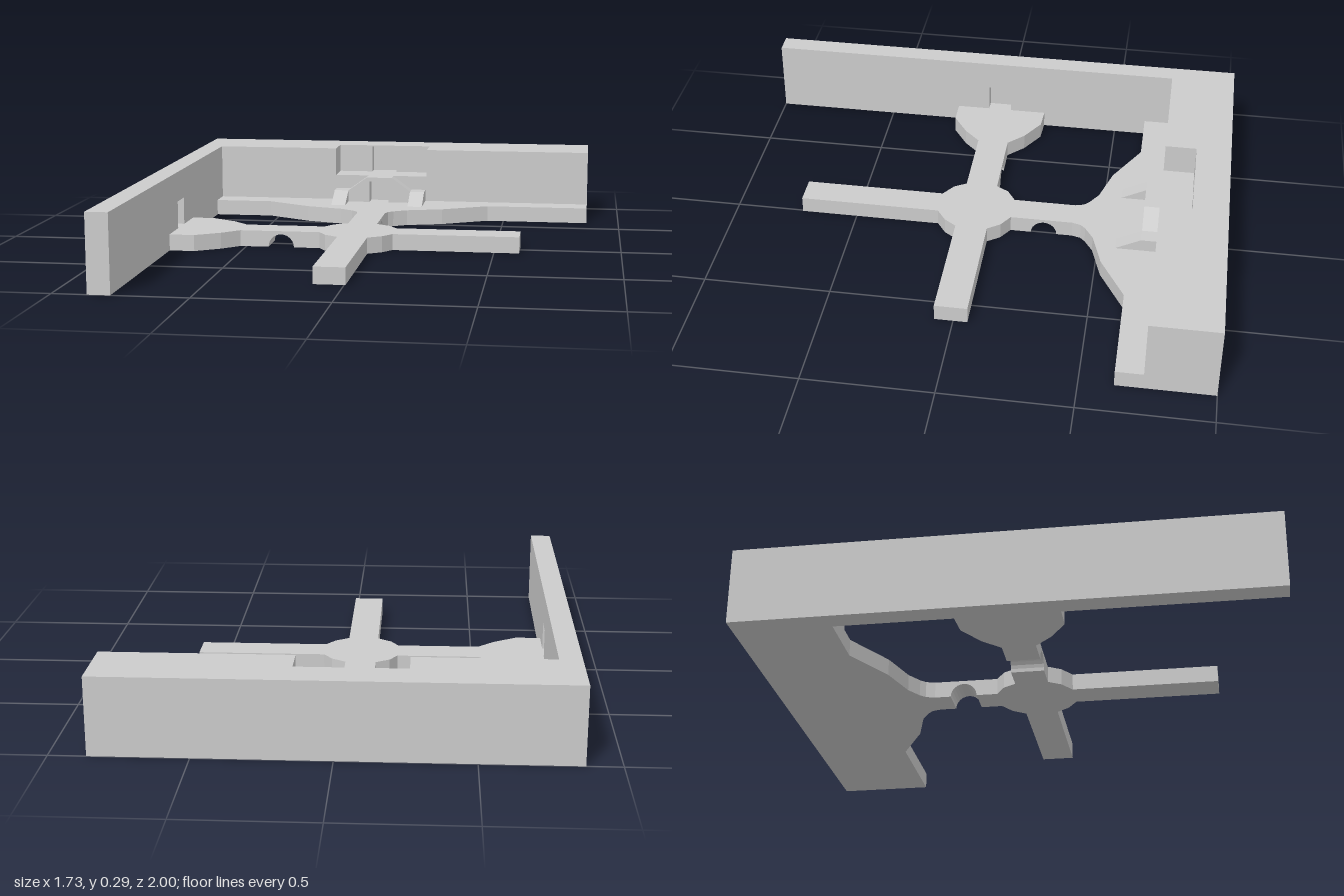
import * as THREE from 'three';

const DECK = 0.065, LANDING = 0.175, TOP = 0.295;

export function createModel() {
  const group = new THREE.Group();
  const material = new THREE.MeshStandardMaterial({ color: 0xcccccc, flatShading: true });

  const add = (name, geometry) => {
    const mesh = new THREE.Mesh(geometry, material);
    mesh.name = name;
    group.add(mesh);
    return mesh;
  };
  const extrude = (shape, depth) =>
    new THREE.ExtrudeGeometry(shape, { depth, bevelEnabled: false, curveSegments: 6 });
  const polygon = (pts) => new THREE.Shape(pts.map(([a, b]) => new THREE.Vector2(a, b)));

  // Plan outline given as [x, z], raised from y0 to y1
  const slab = (name, pts, y0, y1) => {
    const g = extrude(polygon(pts.map(([x, z]) => [x, -z])), y1 - y0);
    g.rotateX(-Math.PI / 2).translate(0, y0, 0);
    return add(name, g);
  };
  // Profile given in (z, y), running from x0 to x1
  const alongX = (name, shape, x0, x1) =>
    add(name, extrude(shape, x1 - x0).rotateY(-Math.PI / 2).translate(x1, 0, 0));
  // Profile given in (x, y), running from z0 to z1
  const alongZ = (name, shape, z0, z1) =>
    add(name, extrude(shape, z1 - z0).translate(0, 0, z0));

  // L-shaped wall in three layers: base, doorway recess, upper alcove
  const wall = (name, y0, y1, sideCut, backCut) => slab(name, [
    [-0.87, -1], [0.863, -1], [0.863, -0.735], ...backCut, [-0.785, -0.735],
    ...sideCut, [-0.785, 1], [-0.87, 1],
  ], y0, y1);
  const sideDoor = [[-0.785, -0.035], [-0.83, -0.035], [-0.83, 0.063], [-0.785, 0.063]];
  const alcove = [
    [0.15, -0.735], [0.15, -0.86], [0, -0.86], [0, -0.91],
    [-0.112, -0.91], [-0.112, -0.86], [-0.26, -0.86], [-0.26, -0.735],
  ];
  wall('wallBase', 0, DECK, [], []);
  wall('wallMiddle', DECK, LANDING, sideDoor, []);
  wall('wallUpper', LANDING, TOP, [], alcove);
  slab('alcoveDoorLintel', [[-0.112, -0.91], [0, -0.91], [0, -0.86], [-0.112, -0.86]], 0.29, TOP);

  // Ledge along the back wall, flaring into the rear bridge
  slab('backLedge', [
    [-0.785, -0.735], [-0.785, -0.63], [-0.54, -0.63], [-0.35, -0.525], [-0.2, -0.48],
    [-0.145, -0.445], [-0.125, -0.425], [-0.115, -0.39], [0.005, -0.39], [0.015, -0.425],
    [0.035, -0.445], [0.09, -0.48], [0.24, -0.525], [0.43, -0.63], [0.863, -0.63], [0.863, -0.735],
  ], 0, DECK);

  // Platform beside the left-hand wall
  slab('sidePlatform', [
    [-0.785, -0.185], [-0.69, -0.18], [-0.59, -0.12], [-0.525, -0.055],
    [-0.525, 0.073], [-0.59, 0.138], [-0.685, 0.2], [-0.785, 0.2],
  ], 0, DECK);

  // Central hub with its front and side arms
  slab('hubAndArms', [
    [-0.2, -0.055], [-0.17, -0.105], [-0.115, -0.14], [0.005, -0.14], [0.06, -0.105],
    [0.095, -0.055], [0.6, -0.055], [0.6, 0.073], [0.095, 0.073], [0.06, 0.122], [0.005, 0.16],
    [0.005, 0.727], [-0.115, 0.727], [-0.115, 0.16], [-0.17, 0.122], [-0.2, 0.073],
  ], 0, DECK);

  // Arched bridges joining the hub to the platform and the ledge
  const archProfile = (a, b, centre, r = 0.052) => {
    const s = new THREE.Shape();
    s.moveTo(a, 0).lineTo(centre - r, 0);
    s.absarc(centre, 0, r, Math.PI, 0, true);
    s.lineTo(b, 0).lineTo(b, DECK).lineTo(a, DECK);
    return s;
  };
  alongZ('sideBridge', archProfile(-0.525, -0.2, -0.357), -0.055, 0.073);
  alongX('backBridge', archProfile(-0.39, -0.14, -0.275), -0.115, 0.005);

  // Double stair: raised landing over a doorway, sloping to both sides
  alongZ('stairLanding', polygon([
    [-0.257, DECK], [-0.1, DECK], [-0.1, 0.157], [-0.015, 0.157], [-0.015, DECK], [0.145, DECK],
    [0.145, 0.115], [0.082, 0.115], [0, LANDING], [-0.112, LANDING], [-0.195, 0.115], [-0.257, 0.115],
  ]), -0.735, -0.673);
  for (const [x0, x1] of [[-0.257, -0.195], [0.082, 0.145]]) {
    alongX('stairRamp', polygon([[-0.673, DECK], [-0.573, DECK], [-0.673, 0.115]]), x0, x1);
  }
  return group;
}
